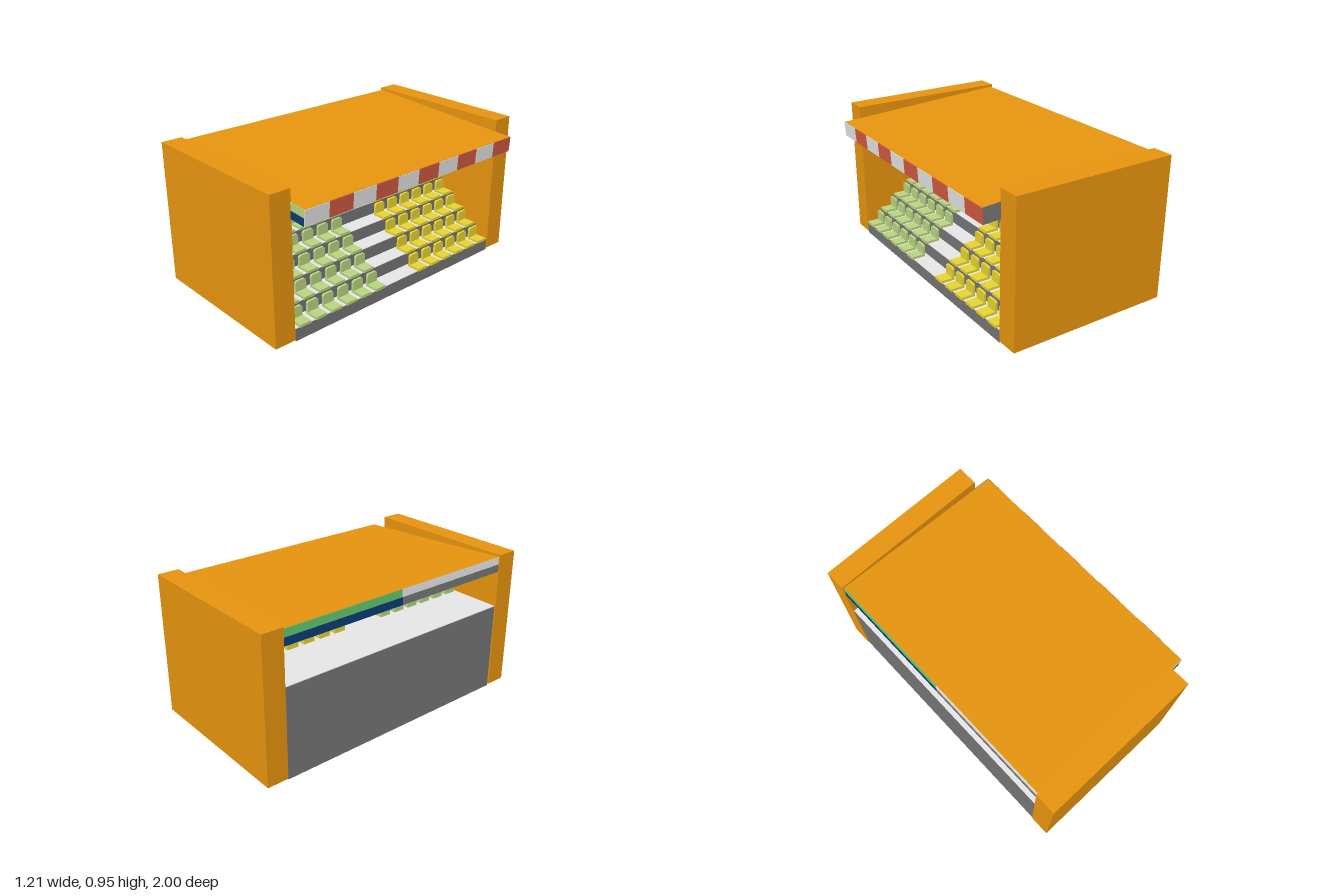
import * as THREE from 'three';

const mat = (name, color) => {
  const m = new THREE.MeshStandardMaterial({ color });
  m.name = name;
  return m;
};

export function createModel() {
  const orange = mat('orange', 0xf49d10);
  const white = mat('white', 0xf4f4f4);
  const red = mat('red', 0xd35a42);
  const grey = mat('grey', 0x757575);
  const paleGreen = mat('pale green', 0xbad480);
  const green = mat('green', 0x62c46e);
  const yellow = mat('yellow', 0xf4e036);
  const navy = mat('navy', 0x0a3b75);

  const model = new THREE.Group();
  model.name = 'grandstand';

  // Box given by its lower and upper corners
  const box = (parent, name, material, x0, x1, y0, y1, z0, z1) => {
    const mesh = new THREE.Mesh(new THREE.BoxGeometry(x1 - x0, y1 - y0, z1 - z0), material);
    mesh.position.set((x0 + x1) / 2, (y0 + y1) / 2, (z0 + z1) / 2);
    mesh.name = name;
    parent.add(mesh);
    return mesh;
  };

  // End walls
  box(model, 'leftWall', orange, -0.61, 0.485, 0.01, 0.955, 0.86, 1);
  box(model, 'rightWall', orange, -0.61, 0.485, 0.01, 0.955, -1, -0.86);

  // Stepped terrace
  const rows = 7, rise = 0.6 / rows, run = 0.11, front = 0.484, back = -0.605, half = 0.855;
  const treadEnd = (i) => (i === rows - 1 ? back : front - (i + 1) * run);
  const tread = 0.004;
  const steps = new THREE.Shape();
  steps.moveTo(back, 0);
  steps.lineTo(front, 0);
  for (let i = 0; i < rows; i++) {
    steps.lineTo(front - i * run, (i + 1) * rise - tread);
    steps.lineTo(treadEnd(i), (i + 1) * rise - tread);
  }
  steps.closePath();
  const terrace = new THREE.Mesh(
    new THREE.ExtrudeGeometry(steps, { depth: 2 * half, bevelEnabled: false }), grey);
  terrace.position.z = -half;
  terrace.name = 'terrace';
  model.add(terrace);
  for (let i = 0; i < rows; i++) {
    const top = (i + 1) * rise;
    box(model, 'tread', white, treadEnd(i), front - i * run, top - tread, top, -half, half);
  }

  // Seats: a flat cushion and a back with clipped top corners
  const backShape = new THREE.Shape();
  [[-0.04, 0], [0.04, 0], [0.04, 0.075], [0.03, 0.085], [-0.03, 0.085], [-0.04, 0.075]]
    .forEach(([a, b], i) => (i ? backShape.lineTo(a, b) : backShape.moveTo(a, b)));
  const backGeo = new THREE.ExtrudeGeometry(backShape, { depth: 0.016, bevelEnabled: false });
  backGeo.rotateY(Math.PI / 2);
  const addSeat = (x, y, z, material) => {
    const seat = new THREE.Group();
    seat.name = 'seat';
    box(seat, 'seatCushion', material, -0.085, 0, -0.002, 0.016, -0.04, 0.04);
    const rest = new THREE.Mesh(backGeo, material);
    rest.position.x = -0.095;
    rest.name = 'seatBack';
    seat.add(rest);
    seat.position.set(x, y, z);
    model.add(seat);
  };
  for (let i = 0; i < rows; i++) {
    for (let j = 0; j < 6; j++) {
      const z = 0.19 + j * 0.12;
      addSeat(0.494 - i * run, (i + 1) * rise, z, paleGreen);
      addSeat(0.494 - i * run, (i + 1) * rise, -z, yellow);
    }
  }

  // Sloping roof with painted edges
  const roof = new THREE.Group();
  roof.name = 'roof';
  roof.position.y = 0.855;
  roof.rotation.z = -0.058;
  model.add(roof);
  const L = 0.603, H = 0.05, W = 0.865, t = 0.004;
  box(roof, 'roofSlab', orange, -L + t, L - t, -H + t, H, -W + t, W - t);

  // Striped front fascia
  const stripe = (2 * W) / 10;
  for (let i = 0; i < 10; i++) {
    const z = W - i * stripe;
    box(roof, 'fasciaStripe', i % 2 ? red : white, L - t, L, -H, H - 0.002, z - stripe, z);
  }

  // Underside halves
  box(roof, 'ceilingLeft', red, -L + t, L - t, -H, -H + t, 0, W - t);
  box(roof, 'ceilingRight', orange, -L + t, L - t, -H, -H + t, -W + t, 0);

  // End edges
  box(roof, 'leftEdgeUpper', paleGreen, -L, L - t, 0, H - 0.001, W - t, W);
  box(roof, 'leftEdgeLower', navy, -L, L - t, -H, 0, W - t, W);
  box(roof, 'rightEdge', grey, -L, L - t, -H, H - 0.001, -W, -W + t);

  // Rear edge
  box(roof, 'rearEdgeGreen', green, -L, -L + t, 0, H - 0.001, -W + t, 0);
  box(roof, 'rearEdgeNavy', navy, -L, -L + t, -H, 0, -W + t, 0);
  box(roof, 'rearEdgeWhite', white, -L, -L + t, 0, H - 0.001, 0, W - t);
  box(roof, 'rearEdgeGrey', grey, -L, -L + t, -H, 0, 0, W - t);

  return model;
}
